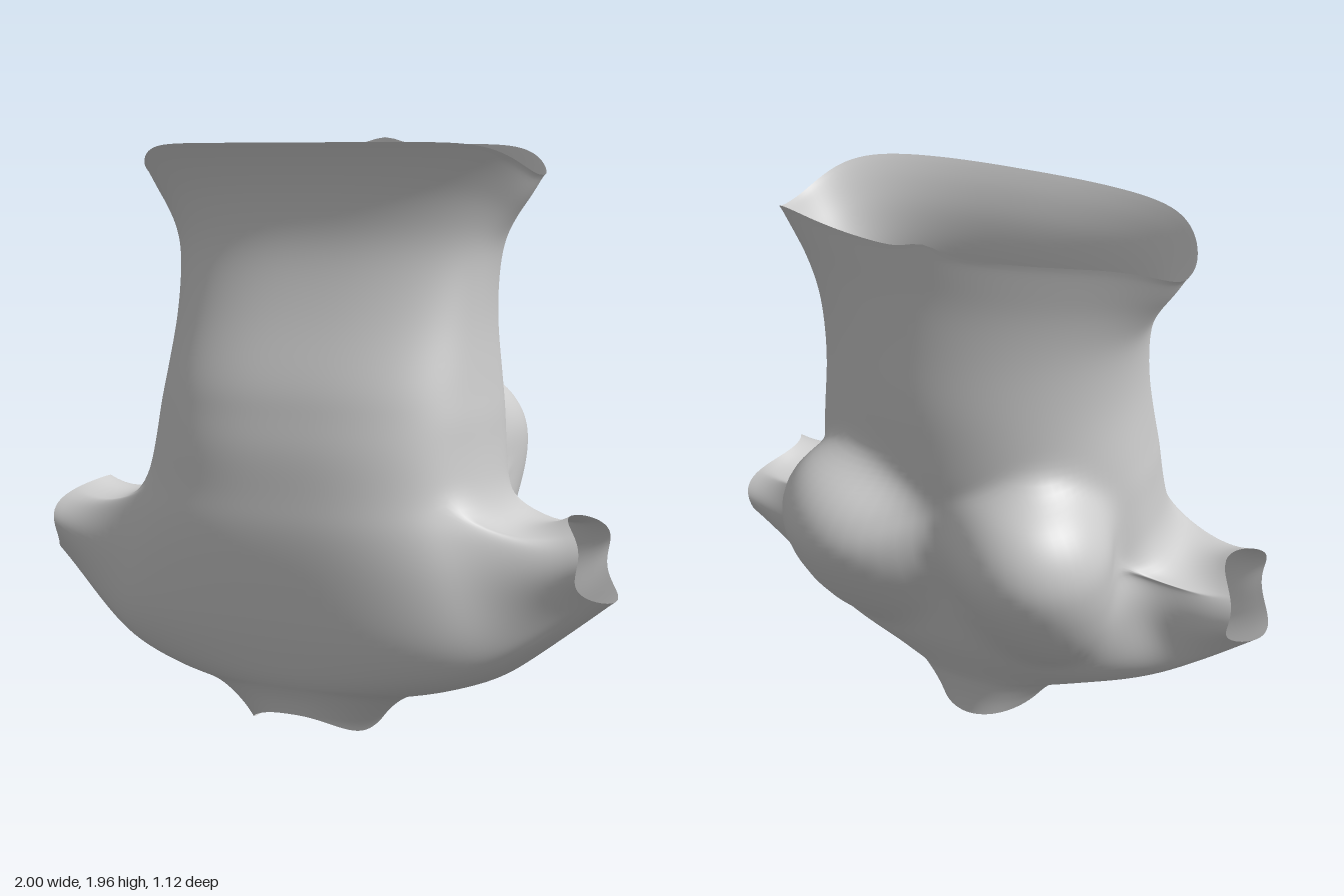
import * as THREE from 'three';

// Horizontal sections: y, half width, front z, back z, z of the widest point
const KEYS = [
  [0.03, 0.20, 0.44, -0.09, 0.17],
  [0.10, 0.26, 0.455, -0.095, 0.17],
  [0.17, 0.36, 0.475, -0.11, 0.17],
  [0.21, 0.52, 0.49, -0.125, 0.17],
  [0.29, 0.70, 0.515, -0.17, 0.17],
  [0.42, 0.74, 0.545, -0.235, 0.17],
  [0.60, 0.70, 0.56, -0.29, 0.17],
  [0.74, 0.65, 0.56, -0.33, 0.14],
  [0.85, 0.61, 0.545, -0.36, 0.10],
  [0.98, 0.59, 0.525, -0.38, 0.07],
  [1.09, 0.58, 0.495, -0.39, 0.06],
  [1.20, 0.565, 0.46, -0.40, 0.05],
  [1.40, 0.545, 0.37, -0.405, 0.05],
  [1.60, 0.555, 0.305, -0.39, 0.03],
  [1.75, 0.60, 0.30, -0.38, 0.02],
  [1.86, 0.65, 0.325, -0.38, 0.01],
  [1.94, 0.69, 0.36, -0.38, 0.00],
];
const SUB = 7, COLS = 120, ROWS = (KEYS.length - 1) * SUB;
const HOLE = { row0: 4 * SUB, row1: 8 * SUB, col0: 17, col1: 40 };
const SLEEVE_STEPS = 12;

const { smoothstep } = THREE.MathUtils;
const signedPow = (v, p) => Math.sign(v) * Math.abs(v) ** p;

// Distance along a horizontal ray from (0, z0) to the far side of a rounded bulge,
// falling off smoothly where the ray misses it
function bulgeReach(dx, dz, y, z0) {
  const below = Math.max(0, 0.93 - y);
  const t = y > 0.93 ? (y - 0.93) / 0.255 : below / 0.53;
  const r2 = 0.265 ** 2 * (1 - t * t);
  const cx = dx > 0 ? 0.295 : 0.335;
  const cz = -0.31 + 0.45 * below * below / (below + 0.1) - z0;
  const along = Math.abs(dx) * cx + dz * cz;
  return along + signedPow(r2 - (cx * cx + cz * cz - along * along), 0.5);
}

function smoothMax(a, b, k) {
  const h = Math.max(k - Math.abs(a - b), 0) / k;
  return Math.max(a, b) + h * h * k * 0.25;
}

function bodyPoint([y, w, zf, zb, z0], angle) {
  const s = Math.sin(angle), c = Math.cos(angle);
  // squarer in front, more pointed sideways along the underside of the shoulders
  const p = 2 / ((c > 0 ? 2.6 : 1.98) - 0.4 * Math.exp(-(((y - 0.24) / 0.1) ** 2)));
  let x = w * signedPow(s, p);
  let z = (c > 0 ? zf - z0 : z0 - zb) * signedPow(c, p);
  // swell the two bulges out of the back, blending more softly below
  const r = Math.hypot(x, z);
  const blend = 0.03 + 0.07 * (1 - smoothstep(y, 0.6, 0.95));
  const grow = c < 0.3 ? smoothMax(r, bulgeReach(x / r, z / r, y, z0), blend) / r : 1;
  x *= grow;
  z = z0 + z * grow;
  // wavy upper rim and arched lower rim
  const top = smoothstep(y, 1.55, 1.94), low = 1 - smoothstep(y, 0.03, 0.3);
  const peak = c < 0 ? 0.025 * Math.exp(-((x / 0.07) ** 2)) : 0;
  const yy = y + top * (peak - 0.1 * s ** 8) + low * (c > 0 ? 0.09 * c * c : -0.02 * c * c);
  return new THREE.Vector3(x, yy, z);
}

// Relax every vertex towards its neighbours, keeping the open rims in place
function relax(points, index, passes) {
  const neighbours = points.map(() => new Set());
  const faces = points.map(() => 0);
  for (let t = 0; t < index.length; t += 3) {
    for (let k = 0; k < 3; k++) {
      const v = index[t + k];
      faces[v]++;
      neighbours[v].add(index[t + (k + 1) % 3]).add(index[t + (k + 2) % 3]);
    }
  }
  for (let pass = 0; pass < passes; pass++) {
    const old = points.map((p) => p.clone());
    points.forEach((p, v) => {
      if (faces[v] === 0 || neighbours[v].size !== faces[v]) return;
      const mean = new THREE.Vector3();
      neighbours[v].forEach((n) => mean.add(old[n]));
      p.lerp(mean.divideScalar(faces[v]), 0.6);
    });
  }
}

function createTorsoGeometry() {
  const points = [], index = [];
  const quad = (a, b, c, d) => index.push(a, b, c, a, c, d);
  const id = (i, j) => i * COLS + ((j + COLS) % COLS);
  const { row0, row1, col0, col1 } = HOLE;
  const inside = (i, j) => i >= row0 && i < row1 &&
    ((j >= col0 && j < col1) || (j >= COLS - col1 && j < COLS - col0));

  // body shell, leaving out the two arm holes
  const profile = new THREE.CubicInterpolant(KEYS.map((_, i) => i), KEYS.flat(), 5, new Float32Array(5));
  for (let i = 0; i <= ROWS; i++) {
    const section = Array.from(profile.evaluate(i / SUB));
    for (let j = 0; j < COLS; j++) points.push(bodyPoint(section, (j / COLS) * Math.PI * 2));
  }
  for (let i = 0; i < ROWS; i++)
    for (let j = 0; j < COLS; j++)
      if (!inside(i, j)) quad(id(i, j), id(i, j + 1), id(i + 1, j + 1), id(i + 1, j));

  // short sleeves flowing from each hole edge to a tilted oval opening
  for (const side of [1, -1]) {
    const a = side > 0 ? col0 : COLS - col1, b = side > 0 ? col1 : COLS - col0;
    const edge = [];
    for (let j = a; j < b; j++) edge.push([row0, j]);
    for (let i = row0; i < row1; i++) edge.push([i, b]);
    for (let j = b; j > a; j--) edge.push([row1, j]);
    for (let i = row1; i > row0; i--) edge.push([i, a]);

    // directions in which the body runs into the hole, evened out around the corners
    const leaving = edge.map(([i, j]) => {
      const outI = i === row0 ? i - 1 : i === row1 ? i + 1 : i;
      const outJ = j === a ? j - 1 : j === b ? j + 1 : j;
      return points[id(i, j)].clone().sub(points[id(outI, outJ)]).normalize();
    });
    const count = edge.length;
    const paths = edge.map(([i, j], m) => {
      const start = points[id(i, j)];
      const phi = Math.atan2((start.y - 0.58) / 0.28, (start.z - 0.17) / 0.3);
      const s = Math.sin(phi), c = Math.cos(phi);
      const leave = new THREE.Vector3();
      for (let d = -5; d <= 5; d++) leave.add(leaving[(m + d + count) % count]);
      leave.setLength(0.34 + 0.08 * Math.max(s, 0));
      const end = new THREE.Vector3(
        side * (0.92 - 0.078 * s + 0.1 * s * (1 - s * s)), 0.66 + 0.128 * s, 0.16 + 0.205 * c);
      const arrive = new THREE.Vector3(side * 0.86, 0.62 - 0.13 * s, 0).setLength(0.31);
      return new THREE.CubicBezierCurve3(start,
        start.clone().addScaledVector(leave, 1 / 3),
        end.clone().addScaledVector(arrive, -1 / 3), end);
    });
    let previous = edge.map(([i, j]) => id(i, j));
    for (let k = 1; k <= SLEEVE_STEPS; k++) {
      const ring = paths.map((path) => points.push(path.getPoint(k / SLEEVE_STEPS)) - 1);
      ring.forEach((v, m) => {
        const n = (m + 1) % count;
        quad(previous[m], previous[n], ring[n], v);
      });
      previous = ring;
    }
  }

  relax(points, index, 7);
  const geometry = new THREE.BufferGeometry().setFromPoints(points);
  geometry.setIndex(index);
  geometry.computeVertexNormals();
  return geometry;
}

export function createModel() {
  const group = new THREE.Group();
  group.name = 'torsoShell';
  const material = new THREE.MeshStandardMaterial({ color: 0xcccccc, side: THREE.DoubleSide });
  const torso = new THREE.Mesh(createTorsoGeometry(), material);
  torso.name = 'torso';
  group.add(torso);
  return group;
}
